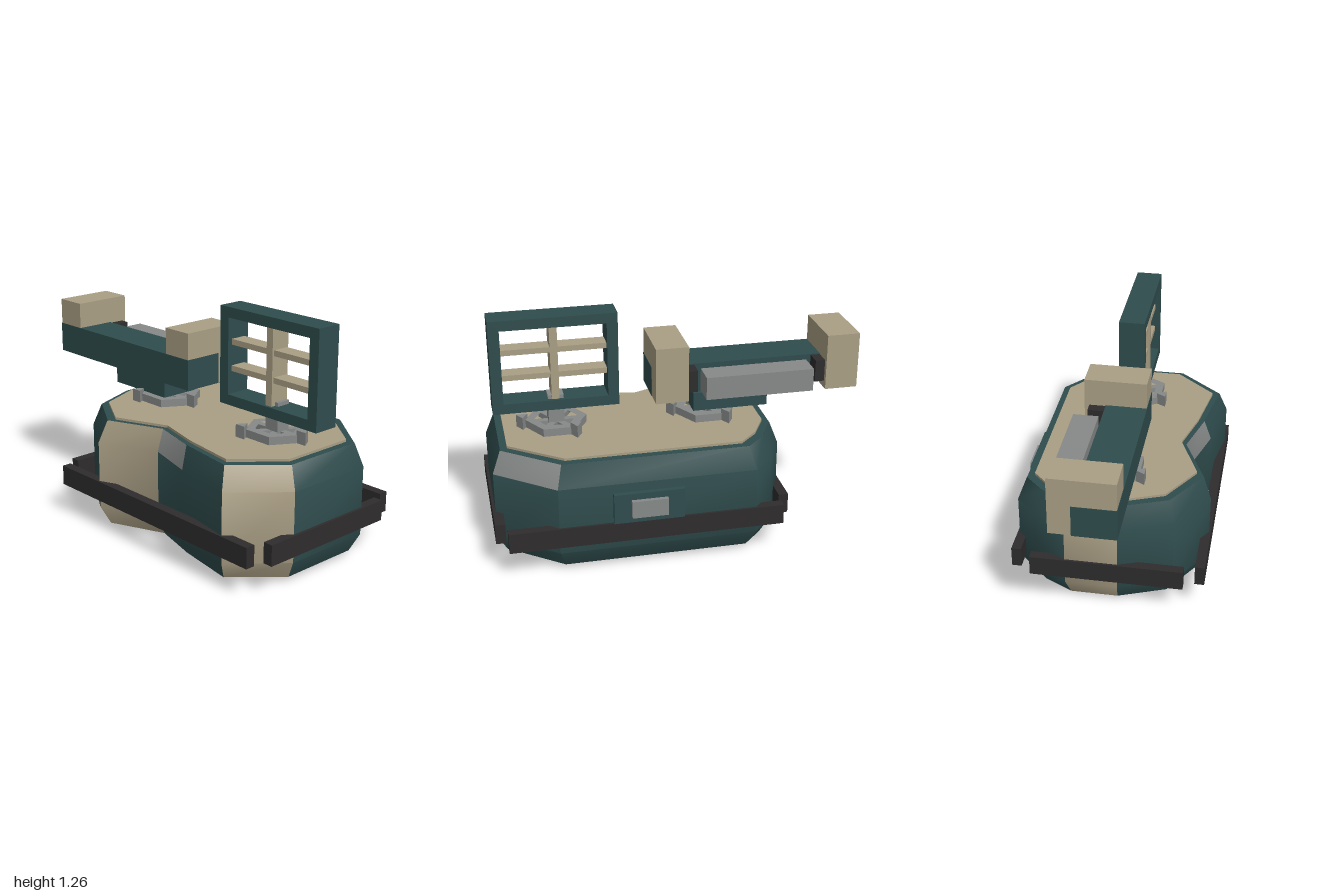
import * as THREE from 'three';
import { toCreasedNormals } from 'three/addons/utils/BufferGeometryUtils.js';

const material = (name, color) => {
  const m = new THREE.MeshStandardMaterial({ color });
  m.name = name;
  return m;
};

// Plan of the body as [x, z], starting at the front of the right flank
const PLAN = [
  [-0.555, 0.08], [-0.45, 0.36], [-0.19, 0.525], [0.13, 0.385], [0.41, 0.465], [0.76, 0.525],
  [0.985, 0.26], [0.985, -0.24], [0.68, -0.485], [-0.36, -0.485], [-0.47, -0.37], [-0.555, -0.2],
];
const CX = 0.215, CZ = 0.02, HX = 0.77, HZ = 0.505;
const insetPlan = (d) => PLAN.map(([x, z]) => [
  CX + (x - CX) * (HX - d) / HX, CZ + (z - CZ) * (HZ - d) / HZ,
]);

// Flat slab from a plan outline, with an optional hole
function slab(outline, y0, y1, hole) {
  const pts = (o) => o.map(([x, z]) => new THREE.Vector2(x, -z));
  const shape = new THREE.Shape(pts(outline));
  if (hole) shape.holes.push(new THREE.Path(pts(hole)));
  const g = new THREE.ExtrudeGeometry(shape, { depth: y1 - y0, bevelEnabled: false });
  return g.rotateX(-Math.PI / 2).translate(0, y0, 0);
}

const ngon = (n, r, cx = 0, cz = 0, turn = 0) => Array.from({ length: n }, (_, i) => {
  const a = turn + (i / n) * Math.PI * 2;
  return [cx + r * Math.cos(a), cz + r * Math.sin(a)];
});

// Body wall: stacked outlines, with camouflage panels chosen per cell
function bodyWall() {
  const rows = [[0.03, 0.05], [0.13, 0], [0.5, 0], [0.62, 0.045]]
    .map(([y, d]) => insetPlan(d).map(([x, z]) => [x, y, z]));
  const tanSides = [2, 5, 11], greyTops = [3, 7, 11];
  const pos = [], g = new THREE.BufferGeometry(), n = PLAN.length;
  for (let r = 0; r < 3; r++) {
    for (let i = 0; i < n; i++) {
      const j = (i + 1) % n;
      const a = rows[r][i], b = rows[r][j], c = rows[r + 1][j], d = rows[r + 1][i];
      const colour = r === 2 && greyTops.includes(i) ? 2 : tanSides.includes(i) ? 1 : 0;
      g.addGroup(pos.length / 3, 6, colour);
      pos.push(...a, ...b, ...c, ...a, ...c, ...d);
    }
  }
  g.setAttribute('position', new THREE.Float32BufferAttribute(pos, 3));
  return toCreasedNormals(g, 0.75);
}

export function createModel() {
  const teal = material('dark teal', 0x2f4c4d);
  const tan = material('sand', 0xaa9f85);
  const grey = material('steel grey', 0x868a88);
  const dark = material('charcoal', 0x2e2c2d);
  const model = new THREE.Group();
  model.name = 'armouredTurret';

  const add = (name, geometry, mat, parent = model) => {
    const mesh = new THREE.Mesh(geometry, mat);
    mesh.name = name;
    parent.add(mesh);
    return mesh;
  };
  // Box given by its extents on each axis
  const box = (name, mat, [x0, x1], [y0, y1], [z0, z1], parent) => {
    const g = new THREE.BoxGeometry(x1 - x0, y1 - y0, z1 - z0);
    return add(name, g.translate((x0 + x1) / 2, (y0 + y1) / 2, (z0 + z1) / 2), mat, parent);
  };
  const group = (name) => {
    const g = new THREE.Group();
    g.name = name;
    model.add(g);
    return g;
  };

  // Body shell, deck and underside
  add('bodyWall', bodyWall(), [teal, tan, grey]);
  add('bodyTop', slab(insetPlan(0.046), 0.6, 0.62), teal);
  add('bodyBottom', slab(insetPlan(0.051), 0.03, 0.05), teal);
  add('deck', slab(insetPlan(0.083), 0.62, 0.633), tan);
  add('underPlate', slab(insetPlan(0.17), 0.016, 0.03), dark);

  // Hexagonal feet
  for (const [x, z] of [[0.59, 0.16], [0.21, -0.23], [-0.165, 0.16]]) {
    add('foot', slab(ngon(6, 0.14, x, z), 0, 0.017, ngon(6, 0.09, x, z)), grey);
  }

  // Bumper rails
  const railY = [0.17, 0.28];
  box('frontRail', dark, [-0.51, 0.94], railY, [0.483, 0.535]);
  box('backRail', dark, [-0.51, 0.94], railY, [-0.497, -0.445]);
  box('leftRail', dark, [0.947, 1], railY, [-0.387, 0.427]);
  box('rightRail', dark, [-0.567, -0.515], railY, [-0.387, 0.427]);

  // Rear hatch
  box('hatch', teal, [0.03, 0.4], [0.285, 0.45], [-0.512, -0.47]);
  box('hatchHandle', grey, [0.12, 0.31], [0.32, 0.415], [-0.535, -0.51]);

  // Swivel mounts with three bolts and a post
  const mount = (cx, cz, topY) => {
    const m = group('swivelMount');
    add('mountRing', slab(ngon(6, 0.165, cx, cz), 0.633, 0.675, ngon(6, 0.115, cx, cz)), grey, m);
    for (const [x, z] of ngon(3, 0.18, cx, cz)) {
      add('mountBolt', slab(ngon(3, 0.035, x, z, Math.PI / 6), 0.633, 0.7), grey, m);
    }
    for (let i = 0; i < 3; i++) {
      const spoke = new THREE.BoxGeometry(0.27, 0.03, 0.035).rotateY(i * Math.PI / 3);
      add('mountSpoke', spoke.translate(cx, 0.65, cz), grey, m);
    }
    box('mountPost', grey, [cx - 0.042, cx + 0.042], [0.633, topY], [cz - 0.04, cz + 0.04], m);
  };
  mount(0.62, 0.01, 0.82);
  mount(-0.195, 0.01, 0.69);

  // Gun: cradle, long housing, end blocks and side box
  const gun = group('gun');
  box('gunCradle', teal, [-0.52, -0.11], [0.683, 0.785], [-0.09, 0.13], gun);
  box('gunHousing', teal, [-1, 0.113], [0.779, 0.945], [-0.062, 0.158], gun);
  for (const x of [[-0.998, -0.82], [-0.065, 0.111]]) {
    box('endBlock', tan, x, [0.781, 1.088], [-0.175, 0.156], gun);
  }
  box('sideBox', grey, [-0.735, -0.15], [0.8, 0.925], [-0.22, -0.085], gun);
  box('outerBracket', dark, [-0.82, -0.768], [0.82, 0.94], [-0.15, -0.06], gun);
  box('innerBracket', dark, [-0.12, -0.065], [0.82, 0.94], [-0.15, -0.06], gun);

  // Sensor frame with a lattice
  const frame = group('sensorFrame');
  const rect = (x0, x1, y0, y1) => [[x0, y0], [x1, y0], [x1, y1], [x0, y1]]
    .map(([x, y]) => new THREE.Vector2(x, y));
  const outline = new THREE.Shape(rect(0.285, 0.953, 0.745, 1.26));
  outline.holes.push(new THREE.Path(rect(0.343, 0.895, 0.8, 1.205)));
  const frameGeometry = new THREE.ExtrudeGeometry(outline, { depth: 0.14, bevelEnabled: false });
  add('frameBorder', frameGeometry.translate(0, 0, -0.05), teal, frame);
  box('uprightBar', tan, [0.6, 0.641], [0.8, 1.205], [-0.035, 0.075], frame);
  for (const y of [0.92, 1.06]) {
    box('crossBar', tan, [0.343, 0.895], [y, y + 0.03], [-0.025, 0.065], frame);
  }
  return model;
}
